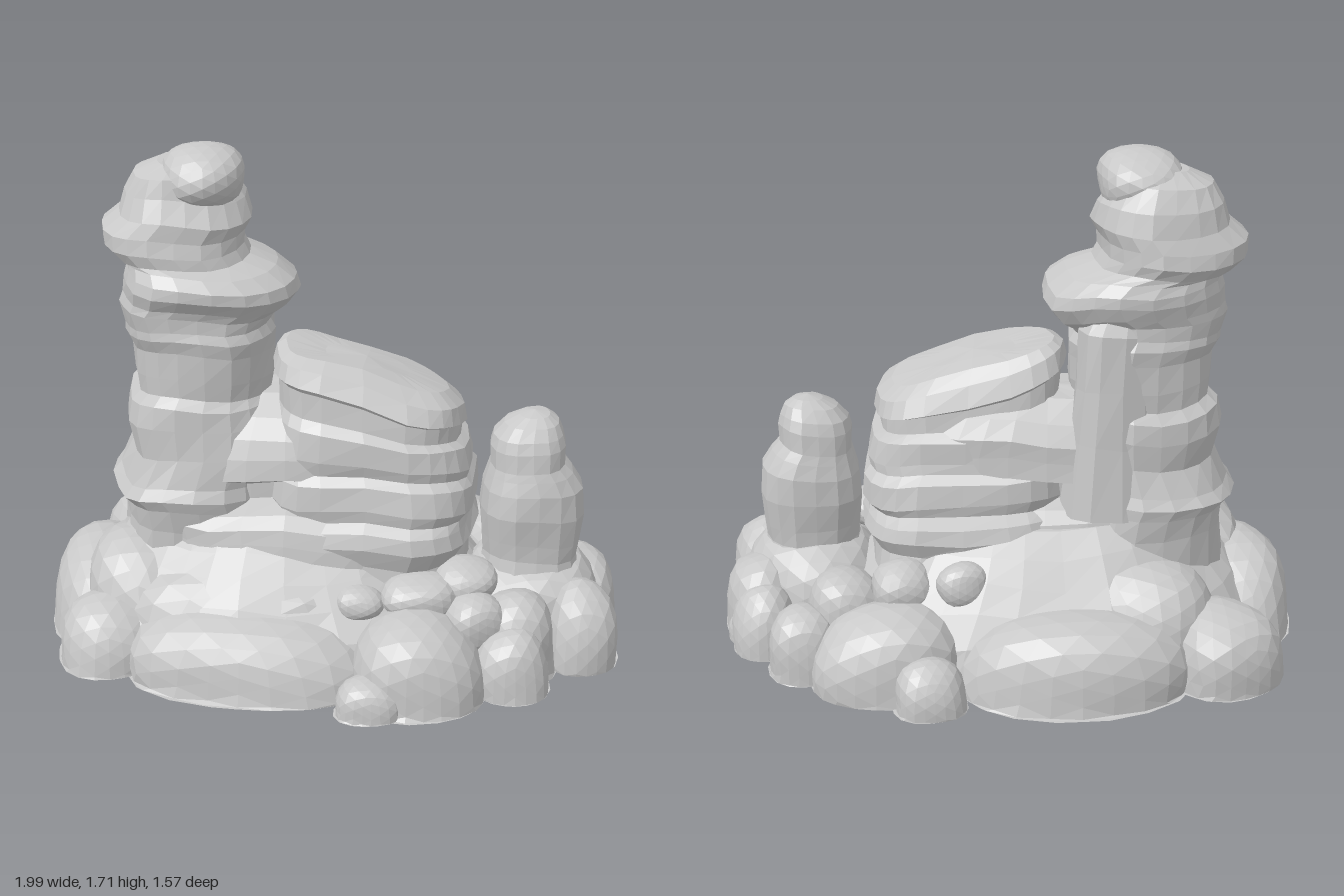
import * as THREE from 'three';

const stone = new THREE.MeshStandardMaterial({ color: 0xc8c8c8, flatShading: true });
stone.name = 'grey stone';

// Smooth position-based unevenness, roughly -1..1
const rough = (x, y, z) =>
  (Math.sin(x * 9 + z * 5 + 1) + Math.sin(y * 11 - x * 6 + 2) + Math.sin(z * 10 + y * 7 + 4)) / 3;

function addMesh(group, name, geometry) {
  const mesh = new THREE.Mesh(geometry, stone);
  mesh.name = name;
  group.add(mesh);
}

// Stacked rounded-box rings: [y, centreX, centreZ, radiusX, radiusZ, tilt]
function strata(rings, { sides = 24, turn = 0, square = 0.75, noise = 0.022 } = {}) {
  const pos = [], index = [];
  const c = Math.cos(turn), s = Math.sin(turn);
  const bend = v => Math.sign(v) * Math.abs(v) ** square;
  for (const [y, cx, cz, rx, rz, tilt = 0] of rings) {
    for (let j = 0; j < sides; j++) {
      const a = (j / sides) * Math.PI * 2;
      const u = bend(Math.cos(a)), v = bend(Math.sin(a));
      const k = 1 + noise * 2 * rough(u * 0.6 + cx, y * 1.5, v * 0.6 + cz);
      const lx = u * rx * k, lz = v * rz * k;
      const x = lx * c - lz * s, z = lx * s + lz * c;
      const lift = y > 0.05 ? noise * rough(x * 1.6, y, z * 1.6) : 0;
      pos.push(cx + x, y + tilt * x + lift, cz + z);
    }
  }
  const last = rings.length - 1;
  for (let i = 0; i < last; i++) {
    for (let j = 0; j < sides; j++) {
      const a = i * sides + j, b = i * sides + (j + 1) % sides;
      index.push(a, a + sides, b, b, a + sides, b + sides);
    }
  }
  // End caps
  const low = pos.length / 3;
  pos.push(rings[0][1], rings[0][0], rings[0][2]);
  pos.push(rings[last][1], rings[last][0] + 0.008, rings[last][2]);
  for (let j = 0; j < sides; j++) {
    const n = (j + 1) % sides;
    index.push(low, j, n, low + 1, last * sides + n, last * sides + j);
  }
  const g = new THREE.BufferGeometry();
  g.setAttribute('position', new THREE.Float32BufferAttribute(pos, 3));
  g.setIndex(index);
  const flat = g.toNonIndexed();
  flat.computeVertexNormals();
  return flat;
}

// Uneven, slightly boxy stone; resting stones drop straight to the ground
function boulder(x, y, z, rx, ry, rz, turn = 0) {
  const g = new THREE.IcosahedronGeometry(1, 3);
  const p = g.attributes.position, v = new THREE.Vector3();
  const up = new THREE.Vector3(0, 1, 0);
  const rests = y < ry;
  for (let i = 0; i < p.count; i++) {
    v.fromBufferAttribute(p, i);
    const box = (v.x ** 4 + v.y ** 4 + v.z ** 4) ** -0.25;
    const k = 1 + (box - 1) * 0.25 + 0.07 * rough(v.x * 0.4 + x * 3, v.y * 0.4 + z * 2, v.z * 0.4 + x);
    if (rests && v.y < 0) {
      // Keep the full girth below the middle
      const girth = Math.min(1 / Math.max(Math.hypot(v.x, v.z), 0.01), 1.6);
      v.x *= girth;
      v.z *= girth;
    }
    v.multiplyScalar(k);
    v.set(v.x * rx, v.y * ry, v.z * rz).applyAxisAngle(up, turn);
    p.setXYZ(i, v.x + x, Math.max(0, v.y + y), v.z + z);
  }
  g.computeVertexNormals();
  return g;
}

export function createModel() {
  const model = new THREE.Group();
  model.name = 'rockFormation';

  // Sloping skirt under everything
  addMesh(model, 'skirt', strata([
    [0, -0.1, -0.02, 0.78, 0.6], [0.14, -0.12, -0.03, 0.74, 0.56], [0.24, -0.14, -0.04, 0.68, 0.49],
    [0.32, -0.15, -0.04, 0.61, 0.42], [0.39, -0.15, -0.04, 0.56, 0.36], [0.46, -0.15, -0.03, 0.52, 0.3],
  ], { sides: 32, turn: 0.1, square: 0.9 }));

  // Long core joining tower and mesa, pinched in the middle to leave a hollow
  addMesh(model, 'core', strata([
    [0.3, -0.13, 0, 0.56, 0.34], [0.42, -0.13, 0, 0.56, 0.32], [0.47, -0.13, 0, 0.58, 0.31],
    [0.51, -0.13, 0, 0.56, 0.27], [0.54, -0.13, -0.02, 0.5, 0.2], [0.6, -0.13, -0.02, 0.5, 0.2],
    [0.63, -0.13, -0.02, 0.53, 0.27], [0.7, -0.13, -0.02, 0.52, 0.26], [0.76, -0.13, -0.03, 0.48, 0.25],
    [0.82, -0.13, -0.04, 0.43, 0.2], [0.88, -0.13, -0.05, 0.34, 0.12],
  ], { sides: 32, turn: 0.19, square: 0.85 }));

  // Tall tower
  addMesh(model, 'tower', strata([
    [0.25, -0.46, -0.1, 0.28, 0.3], [0.42, -0.46, -0.1, 0.26, 0.3], [0.5, -0.47, -0.1, 0.26, 0.31],
    [0.54, -0.49, -0.1, 0.28, 0.32], [0.58, -0.48, -0.1, 0.26, 0.3], [0.68, -0.45, -0.09, 0.24, 0.28],
    [0.78, -0.45, -0.1, 0.26, 0.28], [0.85, -0.45, -0.1, 0.25, 0.27], [0.88, -0.44, -0.1, 0.23, 0.24],
    [0.94, -0.44, -0.1, 0.24, 0.24], [1.03, -0.44, -0.1, 0.24, 0.24], [1.08, -0.45, -0.1, 0.25, 0.25],
    [1.11, -0.46, -0.1, 0.24, 0.24], [1.16, -0.46, -0.1, 0.26, 0.24, -0.08],
    [1.19, -0.43, -0.1, 0.28, 0.25, -0.08], [1.24, -0.41, -0.09, 0.3, 0.275, -0.08],
    [1.28, -0.41, -0.09, 0.29, 0.275, -0.08], [1.32, -0.44, -0.1, 0.26, 0.25, -0.06],
    [1.34, -0.5, -0.12, 0.23, 0.23], [1.38, -0.53, -0.13, 0.24, 0.24], [1.43, -0.53, -0.13, 0.24, 0.23],
    [1.48, -0.49, -0.12, 0.22, 0.22], [1.55, -0.49, -0.13, 0.2, 0.19], [1.61, -0.5, -0.12, 0.16, 0.16],
    [1.64, -0.5, -0.12, 0.08, 0.09],
  ], { sides: 20, square: 0.85 }));
  addMesh(model, 'towerCap', boulder(-0.43, 1.6, -0.09, 0.145, 0.11, 0.17));
  // Buttress filling the rear right of the tower
  addMesh(model, 'towerButtress', strata([
    [0.5, -0.32, -0.23, 0.18, 0.15], [0.75, -0.32, -0.23, 0.15, 0.13], [0.95, -0.32, -0.23, 0.13, 0.12],
    [1.14, -0.33, -0.22, 0.13, 0.12], [1.22, -0.35, -0.2, 0.1, 0.1],
  ], { sides: 12 }));

  // Layered mesa with a slanting top
  addMesh(model, 'mesa', strata([
    [0.28, 0.14, 0.03, 0.32, 0.34], [0.36, 0.14, 0.03, 0.32, 0.32], [0.42, 0.14, 0.03, 0.36, 0.34],
    [0.47, 0.14, 0.03, 0.34, 0.33], [0.5, 0.14, 0.04, 0.33, 0.29], [0.54, 0.14, 0.04, 0.35, 0.3, -0.04],
    [0.62, 0.14, 0.04, 0.34, 0.29, -0.06], [0.65, 0.13, 0.04, 0.33, 0.26, -0.08],
    [0.69, 0.13, 0.05, 0.34, 0.26, -0.12], [0.77, 0.13, 0.05, 0.33, 0.25, -0.16],
    [0.8, 0.12, 0.05, 0.31, 0.22, -0.2], [0.87, 0.12, 0.05, 0.31, 0.21, -0.26],
    [0.88, 0.12, 0.05, 0.325, 0.22, -0.27],
    [0.94, 0.12, 0.05, 0.31, 0.19, -0.27], [0.98, 0.11, 0.04, 0.27, 0.14, -0.25],
    [0.99, 0.11, 0.04, 0.14, 0.07, -0.22],
  ], { turn: 0.2, square: 0.6 }));

  // Small pinnacle on the right
  addMesh(model, 'pinnacle', strata([
    [0.1, 0.67, 0.15, 0.2, 0.2], [0.32, 0.67, 0.15, 0.16, 0.15], [0.38, 0.67, 0.15, 0.165, 0.155],
    [0.48, 0.67, 0.15, 0.175, 0.17], [0.57, 0.67, 0.15, 0.17, 0.165], [0.62, 0.66, 0.15, 0.145, 0.15],
    [0.65, 0.65, 0.15, 0.125, 0.14], [0.72, 0.65, 0.15, 0.125, 0.13], [0.76, 0.65, 0.15, 0.115, 0.115],
    [0.8, 0.66, 0.15, 0.09, 0.085], [0.825, 0.67, 0.15, 0.05, 0.05],
  ], { sides: 16, square: 0.85 }));

  // Boulders round the foot: x, y, z, radii, turn
  const boulders = {
    frontBoulder: [
      [-0.31, 0.04, 0.4, 0.4, 0.2, 0.23, -0.2], [-0.3, 0.14, 0.25, 0.42, 0.2, 0.2, -0.15],
      [0.24, 0.05, 0.55, 0.22, 0.22, 0.21, 0], [0.07, 0.02, 0.68, 0.11, 0.1, 0.09, 0],
      [0.55, 0.03, 0.55, 0.13, 0.18, 0.12, 0], [0.58, 0.1, 0.42, 0.14, 0.19, 0.14, 0],
    ],
    leftBoulder: [
      [-0.78, 0.04, 0.22, 0.18, 0.18, 0.19, 0], [-0.82, 0.04, -0.12, 0.17, 0.26, 0.31, -0.1],
      [-0.68, 0.13, 0.03, 0.19, 0.25, 0.26, 0],
    ],
    backBoulder: [
      [-0.63, 0.05, -0.56, 0.19, 0.21, 0.2, 0.4], [-0.13, 0.04, -0.54, 0.39, 0.23, 0.23, -0.12],
      [-0.4, 0.18, -0.4, 0.24, 0.19, 0.21, -0.6], [0.48, 0.05, -0.4, 0.25, 0.22, 0.19, 0],
      [0.37, 0.03, -0.59, 0.12, 0.14, 0.11, 0],
    ],
    rightBoulder: [
      [0.75, 0.06, -0.27, 0.12, 0.18, 0.13, 0], [0.87, 0.05, -0.08, 0.11, 0.17, 0.12, 0],
      [0.86, 0.05, 0.07, 0.13, 0.23, 0.18, 0], [0.82, 0.05, 0.34, 0.13, 0.23, 0.16, 0],
      [0.67, 0.14, 0.14, 0.24, 0.2, 0.26, 0], [0.92, 0.03, -0.01, 0.07, 0.07, 0.07, 0],
    ],
    upperBoulder: [
      [0.26, 0.27, 0.39, 0.13, 0.075, 0.11, 0], [0.06, 0.25, 0.39, 0.085, 0.06, 0.08, 0],
      [0.42, 0.3, 0.34, 0.11, 0.07, 0.11, 0], [0.44, 0.2, 0.46, 0.11, 0.1, 0.1, 0.3],
      [0.22, 0.31, -0.36, 0.09, 0.08, 0.07, 0], [0.41, 0.27, -0.27, 0.11, 0.1, 0.1, 0],
      [0.6, 0.18, -0.2, 0.13, 0.14, 0.14, 0],
    ],
  };
  for (const [name, list] of Object.entries(boulders)) {
    const cluster = new THREE.Group();
    cluster.name = name + 's';
    list.forEach(b => addMesh(cluster, name, boulder(...b)));
    model.add(cluster);
  }
  return model;
}
